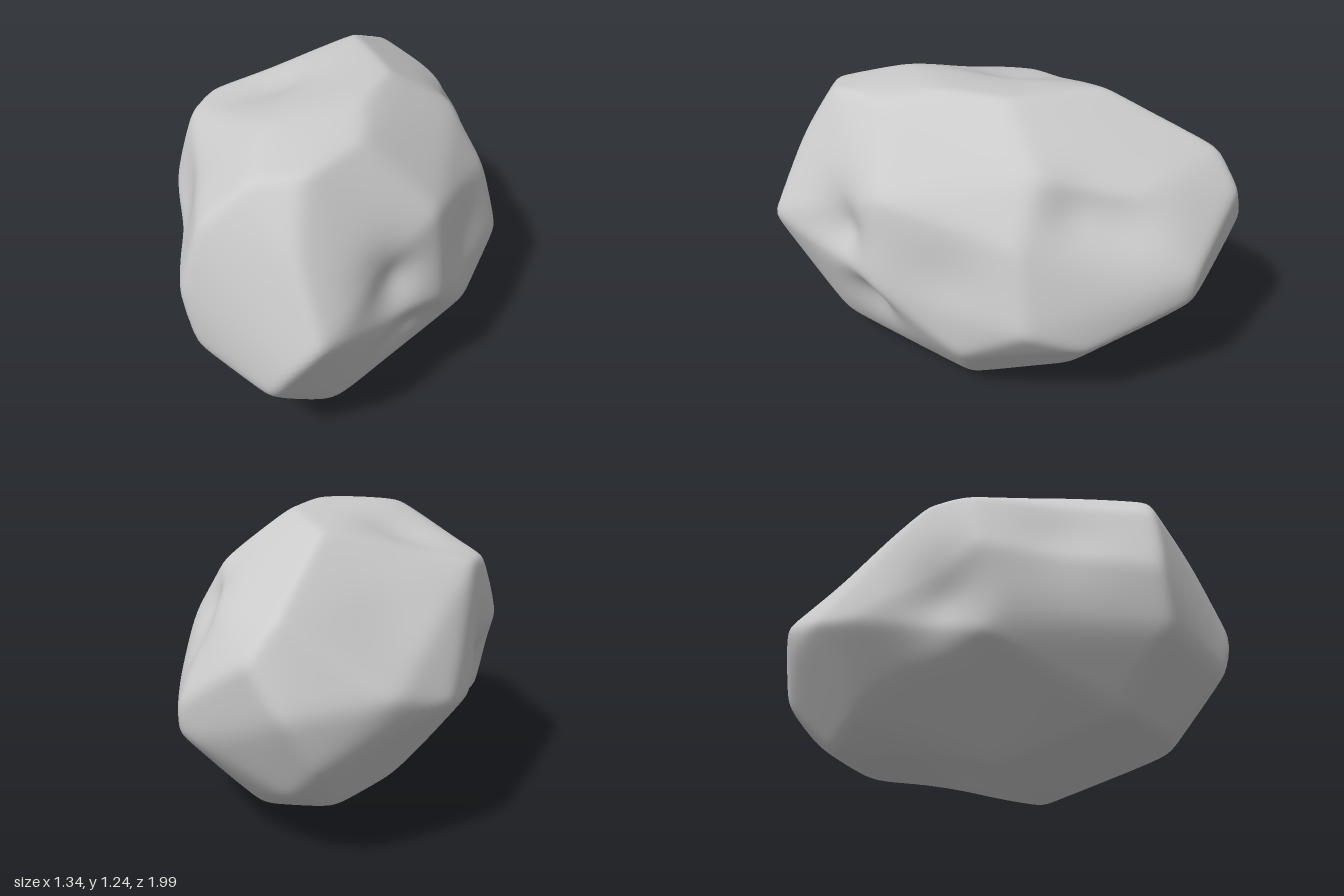
import * as THREE from 'three';
import { mergeVertices } from 'three/addons/utils/BufferGeometryUtils.js';
import { ConvexGeometry } from 'three/addons/geometries/ConvexGeometry.js';

const CENTRE = new THREE.Vector3(0, 0.62, 0);
const SHARPNESS = 90; // higher gives crisper ridges
const ROUNDING = 1.018; // makes up for the rock lost by rounding the ridges

// Corners where the worn facets of the rock meet
const CORNERS = [
  // crown
  [0, 1.21, -0.4], [0.2, 1.23, -0.03], [0.12, 1.24, 0.25], [-0.2, 1.21, 0.42], [0, 1.17, 0.7],
  [0.17, 1.19, 0.45], [-0.57, 1.05, -0.1], [-0.6, 1.04, 0.08], [0.46, 1.03, -0.15],
  // front cap
  [-0.2, 1.14, 0.73], [-0.39, 0.95, 0.78], [-0.47, 0.66, 0.8], [-0.42, 0.43, 0.8], [-0.02, 0.93, 0.87],
  [-0.1, 0.37, 0.97], [0.1, 0.63, 0.99], [0, 0.52, 1],
  // left and right flanks
  [-0.68, 0.78, 0.14], [-0.63, 0.57, 0.22], [-0.6, 0.44, 0.15], [-0.56, 0.58, -0.42], [-0.52, 0.61, -0.58],
  [0.45, 0.9, 0.45], [0.49, 0.5, 0.48], [0.6, 0.79, -0.1], [0.68, 0.46, -0.12], [0.57, 0.26, 0.14],
  [0.61, 0.34, -0.36],
  // back end
  [0.47, 0.62, -0.78], [0.4, 0.95, -0.55], [0.07, 0.99, -0.87], [0.17, 0.85, -0.95], [0.04, 0.67, -1],
  [-0.34, 0.7, -0.82], [-0.08, 0.45, -0.92], [0.05, 0.31, -0.83], [-0.37, 0.58, -0.75], [0.45, 0.5, -0.78],
  // underside
  [0.14, 0, 0.17], [0.42, 0.06, 0.1], [-0.3, 0.17, 0.6], [-0.1, 0.13, 0.73], [0.1, 0.13, 0.71],
  [-0.15, 0.08, 0.05], [0.2, 0.17, -0.62], [-0.1, 0.22, -0.7], [-0.3, 0.28, -0.5], [0.5, 0.2, -0.3],
  [-0.48, 0.32, 0.3],
].map(p => new THREE.Vector3(...p).sub(CENTRE));

// Hollows: position, reach, depth
const DENTS = [
  // front right, above and below the ridge
  [[0.31, 0.7, 0.69], 0.15, 0.08],
  [[0.37, 0.37, 0.57], 0.14, 0.06],
  // right flank
  [[0.48, 0.91, -0.33], 0.15, 0.045],
  [[0.47, 0.86, -0.53], 0.16, 0.045],
  [[0.56, 0.6, 0.2], 0.2, 0.03],
  // left flank
  [[-0.6, 0.63, -0.03], 0.17, 0.07],
  [[-0.54, 0.82, 0.45], 0.2, 0.035],
  // crown, underside and back
  [[-0.28, 1.14, 0], 0.2, 0.035],
  [[0.12, 0.11, -0.3], 0.22, 0.05],
  [[-0.25, 0.9, -0.55], 0.25, 0.02],
].map(([p, reach, depth]) => ({ at: new THREE.Vector3(...p).sub(CENTRE), reach, depth }));

// Planes of the hull around the corners, as normals divided by their distance
function facetPlanes() {
  const pos = new ConvexGeometry(CORNERS).getAttribute('position');
  const tri = new THREE.Triangle();
  const planes = [];
  for (let i = 0; i < pos.count; i += 3) {
    tri.setFromAttributeAndIndices(pos, i, i + 1, i + 2);
    if (tri.getArea() < 1e-5) continue;
    const n = tri.getNormal(new THREE.Vector3());
    planes.push(n.divideScalar(n.dot(tri.a)));
  }
  return planes;
}

function rockGeometry() {
  const planes = facetPlanes();
  const sphere = new THREE.IcosahedronGeometry(1, 48);
  sphere.deleteAttribute('normal');
  sphere.deleteAttribute('uv');
  const geo = mergeVertices(sphere, 1e-5);
  const pos = geo.getAttribute('position');
  const v = new THREE.Vector3();
  for (let i = 0; i < pos.count; i++) {
    v.fromBufferAttribute(pos, i).normalize();
    // soft minimum of the plane distances rounds the ridges
    let sum = 0;
    for (const n of planes) sum += Math.pow(Math.max(0, n.dot(v)), SHARPNESS);
    v.multiplyScalar(ROUNDING * Math.pow(sum, -1 / SHARPNESS));
    let sink = 0;
    for (const d of DENTS) sink += d.depth * Math.exp(-v.distanceToSquared(d.at) / (d.reach * d.reach));
    v.setLength(v.length() - sink);
    pos.setXYZ(i, v.x, v.y, v.z);
  }
  // centre it and stand it on the ground
  geo.computeBoundingBox();
  const { min, max } = geo.boundingBox;
  geo.translate(-(min.x + max.x) / 2, -min.y, -(min.z + max.z) / 2);
  geo.computeVertexNormals();
  return geo;
}

export function createModel() {
  const group = new THREE.Group();
  group.name = 'rock';
  const body = new THREE.Mesh(rockGeometry(), new THREE.MeshStandardMaterial({ color: 0xcccccc }));
  body.name = 'rockBody';
  group.add(body);
  return group;
}
